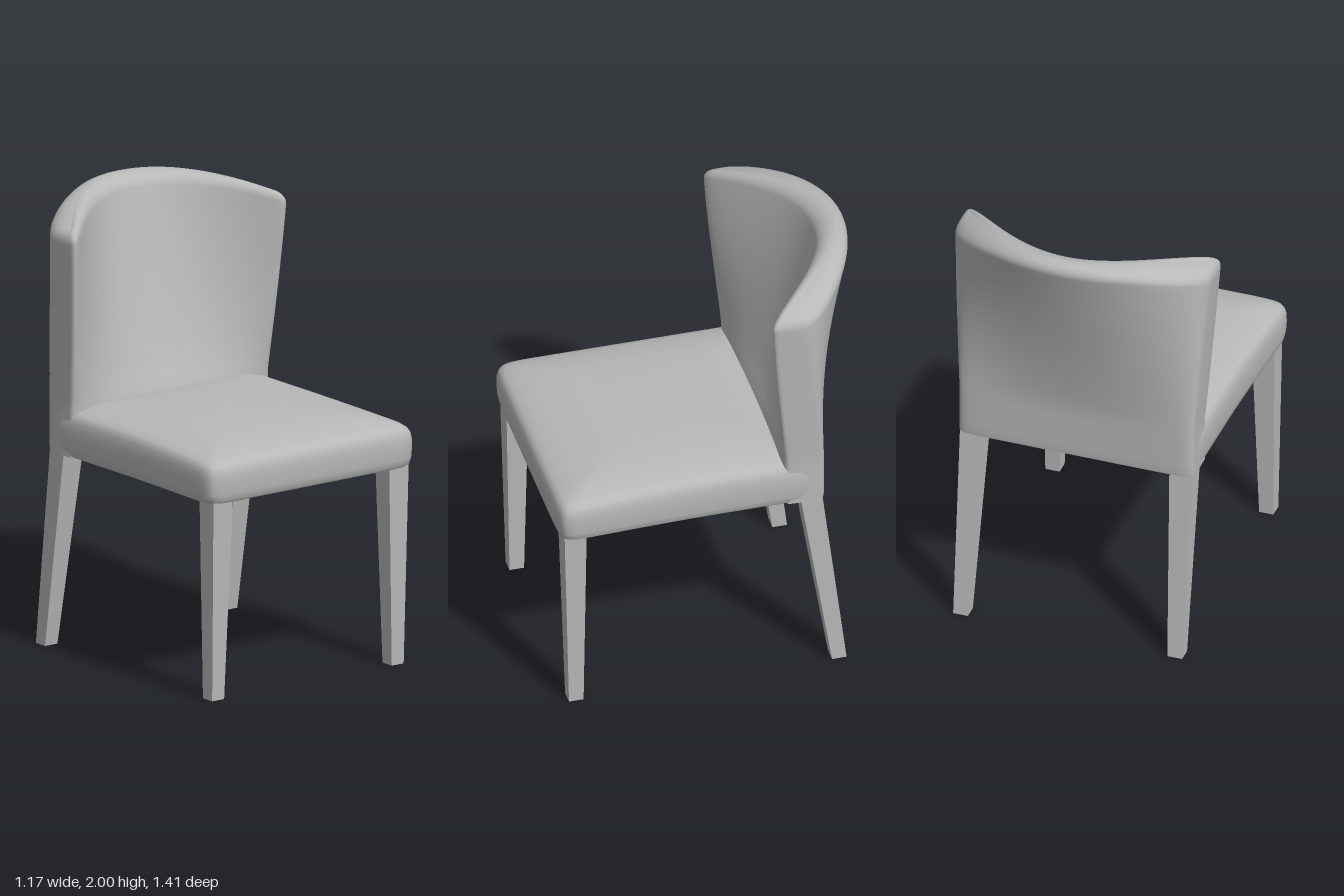
import * as THREE from 'three';

const SIDES = 96;

// Skin a stack of closed rings; point(row, angle) returns [x, y, z], angle 0 faces +z.
function loft(rows, point) {
  const pos = [], idx = [];
  rows.forEach((row, i) => {
    for (let j = 0; j < SIDES; j++) {
      pos.push(...point(row, (j / SIDES) * Math.PI * 2));
      if (i === rows.length - 1) continue;
      const a = i * SIDES + j, b = i * SIDES + ((j + 1) % SIDES);
      idx.push(a, b, b + SIDES, a, b + SIDES, a + SIDES);
    }
  });
  const g = new THREE.BufferGeometry();
  g.setAttribute('position', new THREE.Float32BufferAttribute(pos, 3));
  g.setIndex(idx);
  g.computeVertexNormals();
  return g;
}

// Padded seat: rounded-square rings of [scale, height], domed on top.
function seatGeometry() {
  const rows = [
    [0, 0.88], [0.965, 0.88], [0.965, 0.88], [0.985, 0.89], [0.995, 0.92], [1, 0.97],
    [0.998, 1.01], [0.99, 1.04], [0.975, 1.06], [0.95, 1.073], [0.9, 1.085],
    [0.8, 1.1], [0.65, 1.112], [0.45, 1.118], [0.2, 1.12], [0, 1.12],
  ];
  return loft(rows, ([k, y], t) => {
    // Points gather at the corners
    const angle = t + 0.2 * Math.sin(4 * t);
    const s = Math.sin(angle), c = Math.cos(angle);
    const r = k / Math.pow(Math.abs(s) ** 18 + Math.abs(c) ** 18, 1 / 18);
    const z = 0.11 + 0.587 * r * c;
    const forward = Math.max(0, z / 0.7);
    const halfWidth = 0.543 + 0.025 * forward ** 1.5;
    const droop = 0.018 * forward ** 1.5 * THREE.MathUtils.smoothstep(y, 0.97, 1.08);
    return [halfWidth * r * s, y - droop, z];
  });
}

// Backrest: a straight slab at the seat that flares into a curved, leaning shell.
function backrestGeometry() {
  const rows = [{ v: 0, k: 0 }, { v: 0, k: 0.97 }, { v: 0, k: 0.97 }];
  for (let i = 0; i <= 24; i++) rows.push({ v: 0.02 + 0.98 * i / 24, k: 1 });
  for (let i = 1; i <= 8; i++) {
    const a = (i / 8) * Math.PI / 2;
    rows.push({ v: 1, k: Math.cos(a), lift: Math.sin(a) });
  }
  const mix = THREE.MathUtils.lerp;
  return loft(rows, ({ v, k, lift = 0 }, t) => {
    const u = Math.sin(t), side = Math.sign(Math.cos(t));
    const rim = 2 - 0.1 * Math.abs(u) ** 2.5;
    const y = mix(0.88, rim - 0.06, v) + 0.06 * lift;
    const h = THREE.MathUtils.clamp((y - 1.1) / 0.9, 0, 1);
    const n = mix(10, 4, h);
    const s = side * k * Math.pow(Math.max(0, 1 - Math.abs(u) ** n), 1 / n);
    const bow = 1 - u * u;
    const front = mix(-0.3 + 0.14 * h, -0.3 - 0.29 * h ** 0.8, bow);
    const back = mix(-0.498 + 0.05 * h, -0.498 - 0.23 * h ** 1.3, bow);
    const halfWidth = (0.537 + 0.057 * h) * (lift ? 1 - 0.08 * (1 - k) : 1);
    return [halfWidth * u, y, mix(back, front, 0.5 + 0.5 * s)];
  });
}

// Tapered leg: a box whose ends are moved to [x0, x1, z0, z1] rectangles.
function legGeometry(top, bottom) {
  const g = new THREE.BoxGeometry(1, 1, 1);
  const p = g.attributes.position;
  for (let i = 0; i < p.count; i++) {
    const up = p.getY(i) > 0, e = up ? top : bottom;
    p.setXYZ(i, p.getX(i) > 0 ? e[1] : e[0], up ? 0.885 : 0, p.getZ(i) > 0 ? e[3] : e[2]);
  }
  g.computeVertexNormals();
  return g;
}

export function createModel() {
  const model = new THREE.Group();
  model.name = 'diningChair';
  const grey = new THREE.MeshStandardMaterial({ color: 0xb8b8b8 });
  grey.name = 'plain grey';
  const add = (name, geometry) => {
    const mesh = new THREE.Mesh(geometry, grey);
    mesh.name = name;
    model.add(mesh);
  };

  add('seat', seatGeometry());
  add('backrest', backrestGeometry());

  // Legs, mirrored left and right
  for (const [name, sign] of [['Left', 1], ['Right', -1]]) {
    const span = (a, b) => (sign > 0 ? [a, b] : [-b, -a]);
    add('front' + name + 'Leg',
      legGeometry([...span(0.425, 0.53), 0.572, 0.67], [...span(0.455, 0.52), 0.583, 0.648]));
    add('rear' + name + 'Leg',
      legGeometry([...span(0.425, 0.53), -0.478, -0.382], [...span(0.455, 0.522), -0.587, -0.522]));
  }
  return model;
}
